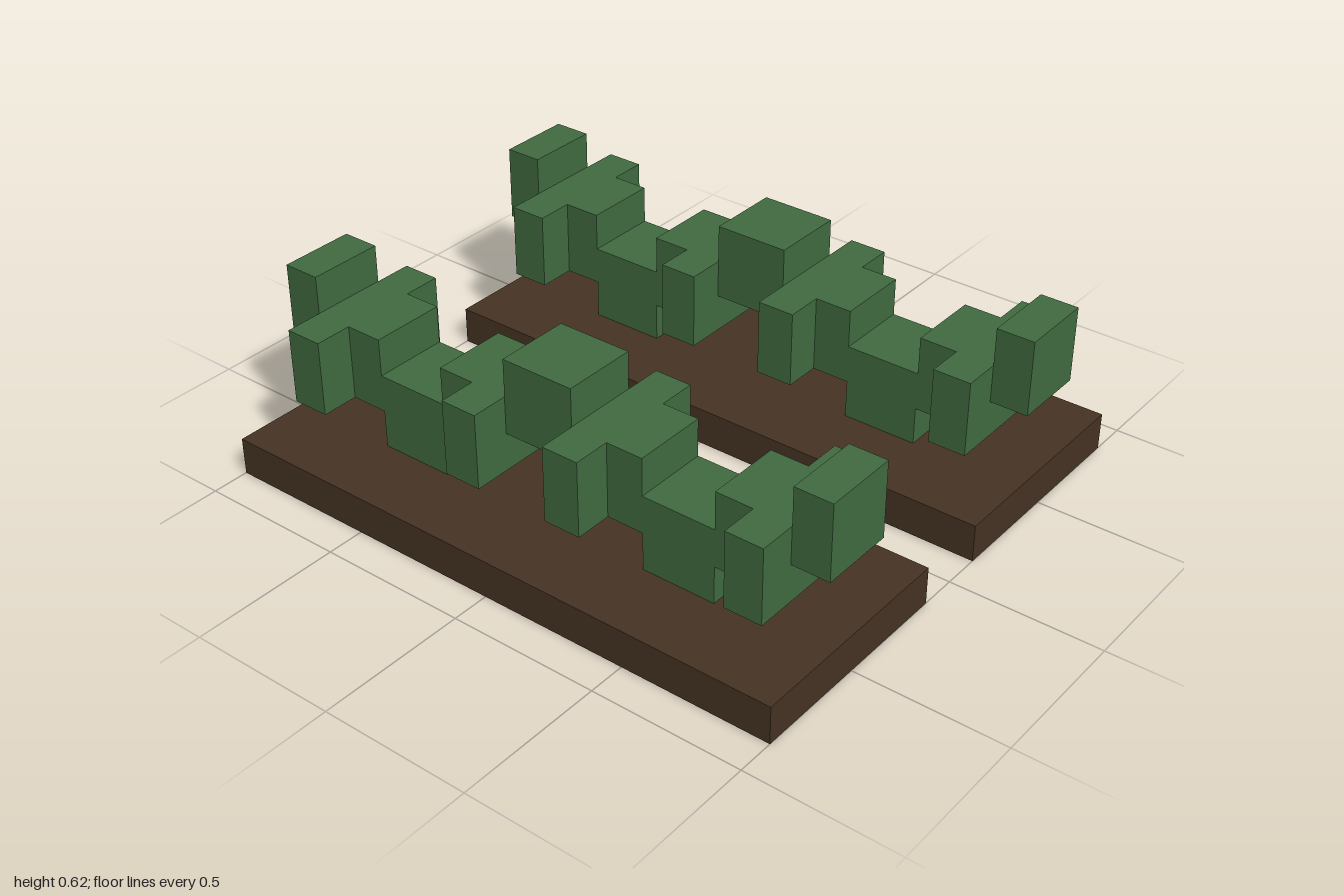
import * as THREE from 'three';

const U = 0.125; // block unit

export function createModel() {
  const model = new THREE.Group();
  const soil = new THREE.MeshStandardMaterial({ color: 0x463323 });
  soil.name = 'soil brown';
  const leaf = new THREE.MeshStandardMaterial({ color: 0x416b40 });
  leaf.name = 'leaf green';

  // Box from its limits, in block units
  function block(parent, name, material, x0, x1, y0, y1, z0, z1) {
    const mesh = new THREE.Mesh(
      new THREE.BoxGeometry((x1 - x0) * U, (y1 - y0) * U, (z1 - z0) * U), material);
    mesh.position.set((x0 + x1) / 2 * U, (y0 + y1) / 2 * U, (z0 + z1) / 2 * U);
    mesh.name = name;
    parent.add(mesh);
  }

  // Stepped hedge segments: x start, x end, bottom
  const segments = [
    [-8, -7, 3], [-7, -5, 2], [-5, -3, 1], [-3, -1, 2], [-1, 1, 3],
    [1, 3, 2], [3, 5, 1], [5, 7, 2], [7, 8, 3],
  ];

  for (const side of [-1, 1]) {
    const row = new THREE.Group();
    row.name = side > 0 ? 'frontRow' : 'backRow';
    row.position.z = side * 4 * U;

    block(row, 'soilBed', soil, -8, 8, 0, 1, -3, 3);
    for (const [x0, x1, y] of segments) block(row, 'hedgeSegment', leaf, x0, x1, y, y + 2, -1, 1);

    // Side branches at the middle level
    for (const x of [-7, -2, 1, 6]) {
      block(row, 'sideBranch', leaf, x, x + 1, 2, 4, 1, 2);
      block(row, 'sideBranch', leaf, x, x + 1, 2, 4, -2, -1);
    }
    model.add(row);
  }
  return model;
}
